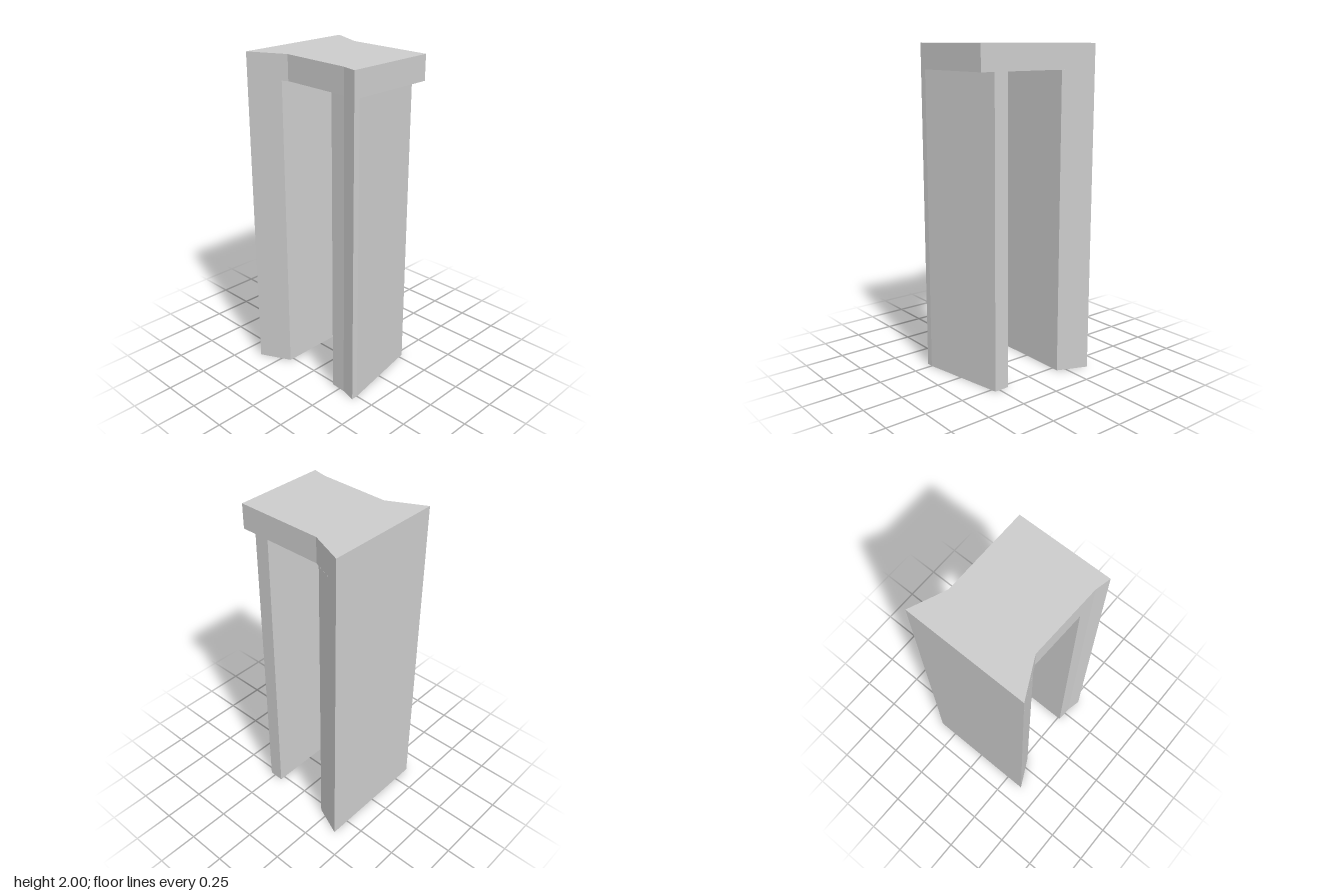
import * as THREE from 'three';

const HEIGHT = 2, SPRING = 1.85;

// Upright prism from a plan outline of [x, z] points.
function prism(name, plan, bottom, top, material) {
  const shape = new THREE.Shape(plan.map(([x, z]) => new THREE.Vector2(x, -z)));
  const geometry = new THREE.ExtrudeGeometry(shape, { depth: top - bottom, bevelEnabled: false });
  geometry.rotateX(-Math.PI / 2);
  geometry.translate(0, bottom, 0);
  const mesh = new THREE.Mesh(geometry, material);
  mesh.name = name;
  return mesh;
}

export function createModel() {
  const group = new THREE.Group();
  group.name = 'gateway';
  const stone = new THREE.MeshStandardMaterial({ color: 0xcccccc, flatShading: true });

  // Flared pier on the model's right
  group.add(prism('rightPier', [
    [-0.382, 0.369], [-0.195, 0.275], [-0.195, -0.294], [-0.382, -0.371],
  ], 0, SPRING, stone));

  // Left pier, its outer face slanting inward towards the back
  group.add(prism('leftPier', [
    [0.19, 0.266], [0.287, 0.27], [0.38, 0.291], [0.379, 0.25],
    [0.283, -0.282], [0.19, -0.282],
  ], 0, SPRING, stone));

  // Lintel spanning both piers and overhanging the slanted face
  group.add(prism('lintel', [
    [-0.382, 0.369], [-0.16, 0.257], [0.287, 0.27], [0.38, 0.291],
    [0.375, -0.282], [-0.168, -0.282], [-0.382, -0.371],
  ], SPRING, HEIGHT, stone));

  return group;
}
